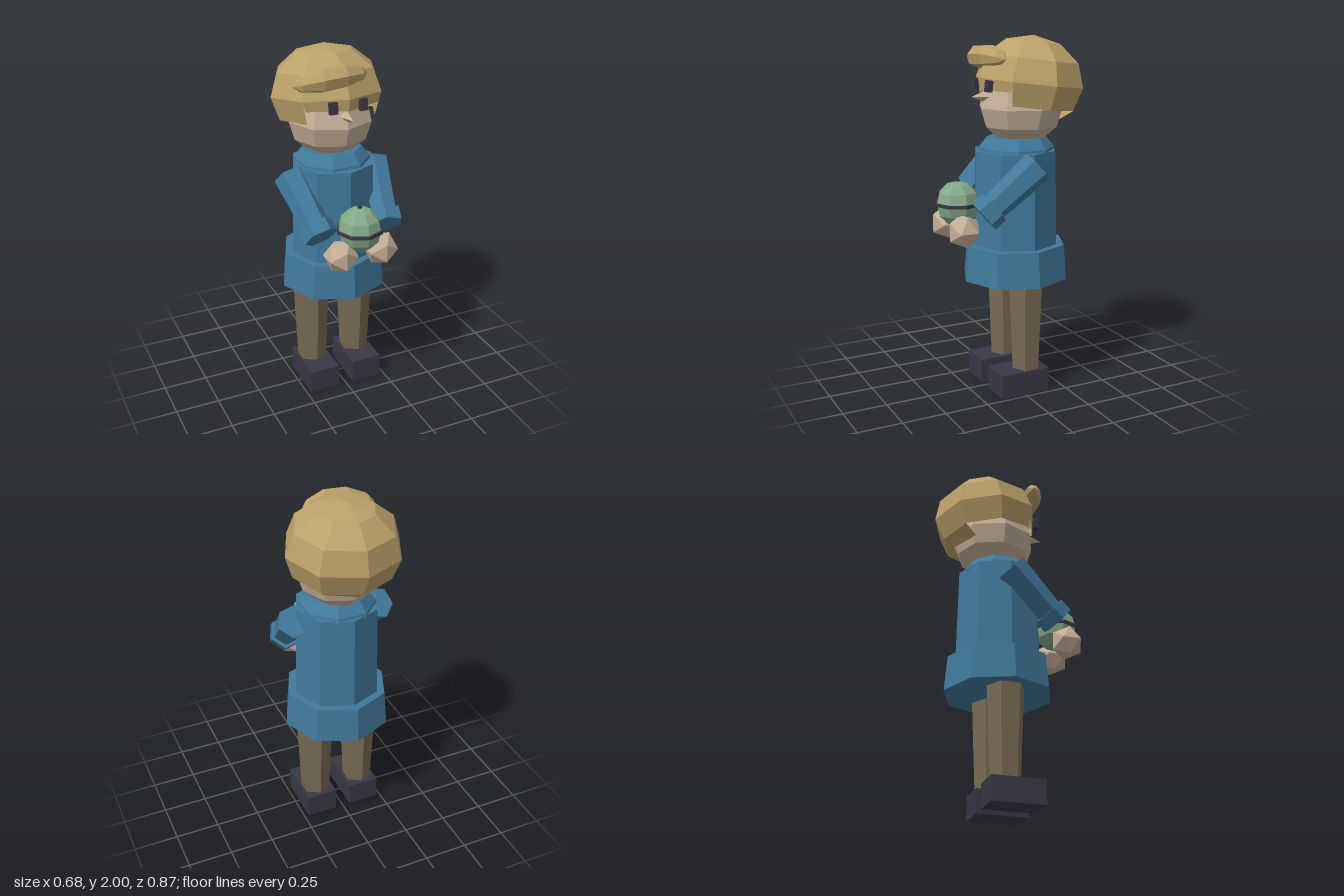
import * as THREE from 'three';

const mat = (color) => new THREE.MeshStandardMaterial({ color, flatShading: true, side: THREE.DoubleSide });
const V = (x, y, z) => new THREE.Vector3(x, y, z);

export function createModel() {
  const model = new THREE.Group();
  const hairMat = mat(0xbba16a), skin = mat(0xc4ae98), blue = mat(0x41799c);
  const brown = mat(0x7a6a55), dark = mat(0x3a3746), green = mat(0x84a888);

  const add = (name, geometry, material, x = 0, y = 0, z = 0) => {
    const m = new THREE.Mesh(geometry, material);
    m.name = name;
    m.position.set(x, y, z);
    model.add(m);
    return m;
  };
  // Tapered prism standing between two heights
  const prism = (name, material, rTop, rBottom, y0, y1, x, z, sides, turn = 0) =>
    add(name, new THREE.CylinderGeometry(rTop, rBottom, y1 - y0, sides, 1, false, turn), material, x, (y0 + y1) / 2, z);
  // Tapered prism running from point a to point b
  const limb = (name, material, a, b, ra, rb, sides, turn = 0) => {
    const d = b.clone().sub(a);
    const c = a.clone().add(b).multiplyScalar(0.5);
    const m = add(name, new THREE.CylinderGeometry(rb, ra, d.length(), sides, 1, false, turn), material, c.x, c.y, c.z);
    m.quaternion.setFromUnitVectors(V(0, 1, 0), d.normalize());
    return m;
  };
  // Faceted ball; the front column of corners faces +z
  const ball = (name, material, rx, ry, rz, x, y, z, cols = 8, rows = 6) => {
    const g = new THREE.SphereGeometry(1, cols, rows).rotateY(Math.PI / 2).scale(rx, ry, rz);
    return add(name, g, material, x, y, z);
  };

  // Coat: body, flared skirt, collar
  prism('coatBody', blue, 0.235, 0.247, 0.8, 1.375, 0, -0.045, 8);
  prism('coatSkirt', blue, 0.29, 0.307, 0.645, 0.845, 0, -0.045, 8);
  prism('collarBase', blue, 0.21, 0.215, 1.36, 1.39, 0, -0.055, 8, Math.PI / 8);
  prism('collar', blue, 0.163, 0.21, 1.39, 1.447, 0, -0.055, 8, Math.PI / 8);

  // Legs, shoes, arms, cuffs, hands and eyes, mirrored
  for (const s of [1, -1]) {
    const side = s > 0 ? 'left' : 'right';
    prism(side + 'Leg', brown, 0.107, 0.083, 0.12, 0.68, s * 0.137, -0.047, 6);
    add(side + 'Shoe', new THREE.BoxGeometry(0.18, 0.135, 0.295), dark, s * 0.135, 0.0675, -0.002);

    const shoulder = V(s * 0.25, 1.315, -0.055), wrist = V(s * 0.2, 1.085, 0.21);
    const dir = wrist.clone().sub(shoulder).normalize();
    limb(side + 'Arm', blue, shoulder, wrist, 0.092, 0.074, 6);
    limb(side + 'Cuff', blue, wrist.clone().addScaledVector(dir, -0.035), wrist.clone().addScaledVector(dir, 0.04), 0.096, 0.096, 6);
    add(side + 'Hand', new THREE.IcosahedronGeometry(0.097, 0), skin, s * 0.118, 0.97, 0.322);

    const eye = add(side + 'Eye', new THREE.BoxGeometry(0.043, 0.062, 0.03), dark, s * 0.085, 1.737, 0.155);
    eye.rotation.x = -0.1;
  }

  // Head and nose
  ball('head', skin, 0.24, 0.21, 0.24, 0, 1.61, -0.08);
  const nose = add('nose', new THREE.ConeGeometry(0.037, 0.1, 4), skin, 0, 1.675, 0.17);
  nose.rotation.x = Math.PI / 2;

  // Hair: rings of a squashed ball leaning back, open at the face
  const lean = new THREE.Euler(-0.12, 0, 0);
  const ringPoint = (i, k) => {
    const t = i * Math.PI / 6, p = k * Math.PI / 4;
    return V(0.32 * Math.sin(t) * Math.sin(p), 0.257 * Math.cos(t), 0.306 * Math.sin(t) * Math.cos(p))
      .applyEuler(lean).add(V(0, 1.742, -0.13));
  };
  const fringe = { 7: V(-0.21, 1.712, 0.083), 0: V(0, 1.712, 0.165), 1: V(0.21, 1.712, 0.083) };
  const nape = { 3: V(0.16, 1.545, -0.23), 4: V(0, 1.54, -0.315), 5: V(-0.16, 1.545, -0.23) };
  const tris = [];
  const quad = (a, b, c, d) => tris.push(a, b, c, a, c, d);
  for (let k = 0; k < 8; k++) {
    const n = (k + 1) % 8;
    for (let i = 0; i < 4; i++) {
      const open = i === 3 && (k === 7 || k === 0);
      quad(ringPoint(i, k), open ? fringe[k] : ringPoint(i + 1, k), open ? fringe[n] : ringPoint(i + 1, n), ringPoint(i, n));
    }
    if (nape[k] && nape[n]) quad(ringPoint(4, k), nape[k], nape[n], ringPoint(4, n));
  }
  const hairGeometry = new THREE.BufferGeometry().setFromPoints(tris);
  hairGeometry.computeVertexNormals();
  add('hair', hairGeometry, hairMat);

  // Swept tuft over the forehead
  const tuftGeometry = new THREE.SphereGeometry(1, 7, 5).rotateZ(Math.PI / 2).scale(0.212, 0.068, 0.07);
  const tp = tuftGeometry.attributes.position;
  for (let i = 0; i < tp.count; i++) { // bow the ends back and down
    const u = tp.getX(i) / 0.212;
    tp.setZ(i, tp.getZ(i) - 0.035 * u * u);
    tp.setY(i, tp.getY(i) - 0.02 * u * u);
  }
  const tuft = add('hairTuft', tuftGeometry, hairMat, -0.07, 1.887, 0.115);
  tuft.rotation.z = 0.06;

  // Held globe with band and stem
  ball('globe', green, 0.122, 0.125, 0.122, 0, 1.1, 0.305);
  prism('globeBand', dark, 0.13, 0.13, 1.092, 1.11, 0, 0.305, 8);
  prism('globeStem', dark, 0.013, 0.013, 1.21, 1.237, 0, 0.305, 4);

  return model;
}
